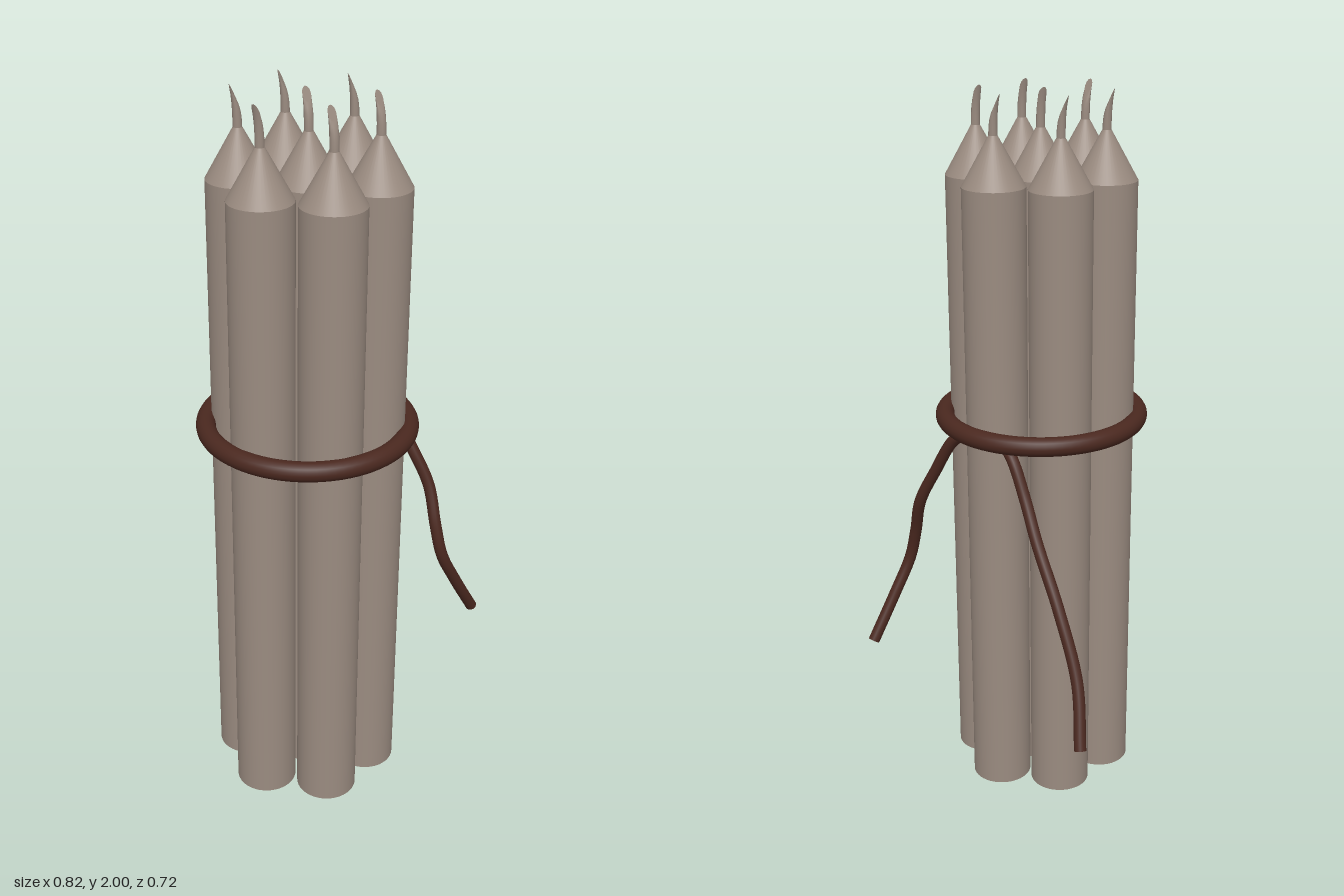
import * as THREE from 'three';

const CX = 0.1, CZ = 0.063; // axis of the bundle
const R = 0.0845;           // candle radius
const wax = new THREE.MeshStandardMaterial({ color: 0x9a8b80 });
const cord = new THREE.MeshStandardMaterial({ color: 0x4a281f });

// Short wick that leans outward and ends in a slanted cut
function wickGeometry() {
  const h = 0.1, r = 0.012;
  const g = new THREE.CylinderGeometry(r, r, h, 12, 5);
  g.translate(0, h / 2, 0);
  const p = g.attributes.position;
  for (let i = 0; i < p.count; i++) {
    const t = p.getY(i) / h, x = p.getX(i);
    p.setY(i, p.getY(i) + t * t * (x / r) * 0.018);
    p.setX(i, x * (1 - 0.3 * t * t) + 0.011 * t * t * t);
  }
  g.computeVertexNormals();
  return g;
}

const bodyGeo = new THREE.CylinderGeometry(R, R, 1.765, 40).translate(0, 0.8825, 0);
const tipGeo = new THREE.CylinderGeometry(0.012, R, 0.13, 40, 1).translate(0, 1.83, 0);
const wickGeo = wickGeometry().translate(0, 1.882, 0);

function candle(x, z, yaw) {
  const g = new THREE.Group();
  g.name = 'candle';
  const parts = { candleBody: bodyGeo, candleTip: tipGeo, wick: wickGeo };
  for (const [name, geo] of Object.entries(parts)) {
    const m = new THREE.Mesh(geo, wax);
    m.name = name;
    g.add(m);
  }
  g.position.set(x, 0, z);
  g.rotation.y = yaw;
  return g;
}

// Loose cord end: a tube with closed ends
function cordEnd(name, pts) {
  const g = new THREE.Group();
  g.name = name;
  const r = 0.0165;
  const curve = new THREE.CatmullRomCurve3(pts.map(p => new THREE.Vector3(...p)));
  g.add(new THREE.Mesh(new THREE.TubeGeometry(curve, 60, r, 14), cord));
  for (const t of [0, 1]) {
    const cap = new THREE.Mesh(new THREE.CircleGeometry(r, 14), cord);
    const dir = curve.getTangentAt(t).multiplyScalar(t ? 1 : -1);
    cap.position.copy(curve.getPointAt(t));
    cap.quaternion.setFromUnitVectors(new THREE.Vector3(0, 0, 1), dir);
    g.add(cap);
  }
  g.children.forEach(m => { m.name = name; });
  return g;
}

export function createModel() {
  const model = new THREE.Group();
  model.name = 'candleBundle';

  // One candle in the middle, six around it
  model.add(candle(CX, CZ, 2.8));
  const yaws = [-1.6, 2.9, 3.0, -2.5, -2.6, -2.4];
  for (let i = 0; i < 6; i++) {
    const a = i * Math.PI / 3;
    model.add(candle(CX + 0.177 * Math.sin(a), CZ + 0.177 * Math.cos(a), yaws[i]));
  }

  // Cord looped around the bundle
  const loop = new THREE.Mesh(new THREE.TorusGeometry(0.272, 0.0265, 18, 80), cord);
  loop.name = 'cordLoop';
  loop.rotation.x = Math.PI / 2;
  loop.position.set(CX, 1.1, CZ);
  model.add(loop);

  // Two loose ends hanging behind
  model.add(cordEnd('rightCordEnd', [
    [0.04, 1.1, -0.165], [-0.02, 1.06, -0.18], [-0.08, 0.96, -0.192], [-0.14, 0.865, -0.213],
    [-0.25, 0.71, -0.245], [-0.34, 0.54, -0.272], [-0.395, 0.38, -0.32],
  ]));
  model.add(cordEnd('leftCordEnd', [
    [0.12, 1.1, -0.19], [0.18, 1.07, -0.2], [0.25, 0.96, -0.212], [0.305, 0.855, -0.224],
    [0.345, 0.745, -0.21], [0.368, 0.655, -0.215], [0.383, 0.55, -0.267], [0.394, 0.42, -0.347],
  ]));
  return model;
}
